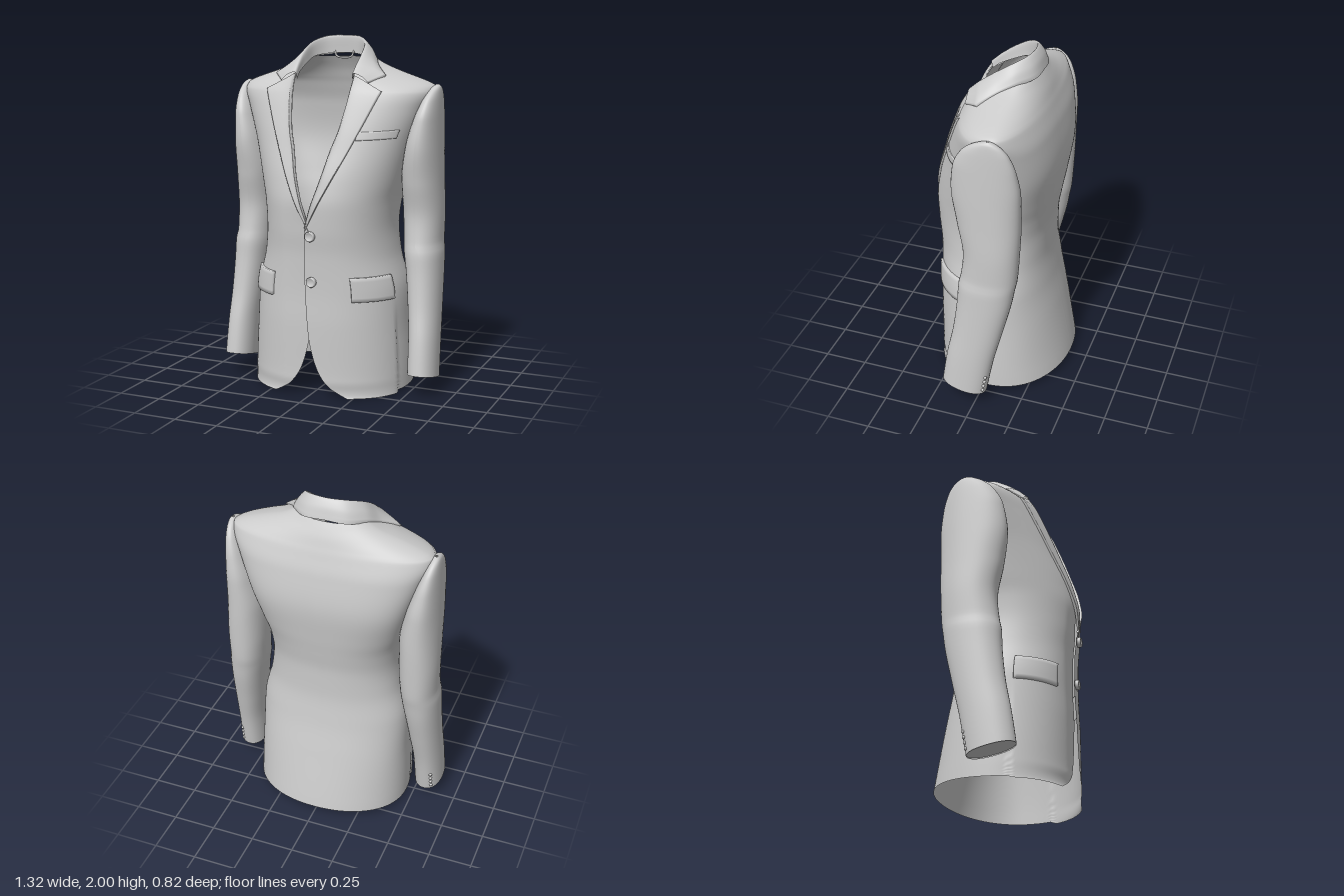
import * as THREE from 'three';

const clamp = (x) => Math.min(1, Math.max(0, x));
const smooth = (a, b, x) => { const k = clamp((x - a) / (b - a)); return k * k * (3 - 2 * k); };
const lerp = THREE.MathUtils.lerp;
const cloth = new THREE.MeshStandardMaterial({ color: 0xcccccc, side: THREE.DoubleSide });

// Monotone cubic lookup of column c in a table whose first column is height
function look(table, c, y) {
  const n = table.length;
  y = Math.min(table[n - 1][0], Math.max(table[0][0], y));
  let i = 0;
  while (i < n - 2 && y > table[i + 1][0]) i++;
  const slope = (k) => (table[k + 1][c] - table[k][c]) / (table[k + 1][0] - table[k][0]);
  const tangent = (k) => {
    if (k === 0) return slope(0);
    if (k === n - 1) return slope(n - 2);
    const p = slope(k - 1), q = slope(k);
    return p * q <= 0 ? 0 : (2 * p * q) / (p + q);
  };
  const h = table[i + 1][0] - table[i][0], s = (y - table[i][0]) / h, s2 = s * s, s3 = s2 * s;
  return (2 * s3 - 3 * s2 + 1) * table[i][c] + (s3 - 2 * s2 + s) * h * tangent(i)
    + (3 * s2 - 2 * s3) * table[i + 1][c] + (s3 - s2) * h * tangent(i + 1);
}

// Body sections: height, half width, z of widest point, front z, back z, front and back roundness
const BODY = [
  [0, 0.47, -0.02, 0.345, -0.41, 2.2, 2.1], [0.1, 0.468, -0.02, 0.375, -0.392, 2.2, 2.1],
  [0.4, 0.452, -0.02, 0.38, -0.33, 2.2, 2.2], [0.6, 0.438, -0.02, 0.375, -0.29, 2.2, 2.2],
  [0.8, 0.39, -0.01, 0.38, -0.268, 2.2, 2.3], [0.95, 0.375, 0, 0.395, -0.27, 2.2, 2.4],
  [1.08, 0.385, -0.01, 0.4, -0.287, 2.2, 2.5], [1.2, 0.415, -0.03, 0.38, -0.305, 2.2, 2.7],
  [1.4, 0.47, -0.06, 0.315, -0.325, 2.3, 3], [1.6, 0.54, -0.07, 0.24, -0.3, 2.3, 2.8],
  [1.7, 0.575, -0.08, 0.198, -0.27, 2.2, 2.3], [1.73, 0.57, -0.09, 0.183, -0.26, 1.9, 2.1],
  [1.75, 0.53, -0.09, 0.172, -0.252, 1.8, 2], [1.8, 0.385, -0.09, 0.138, -0.233, 1.6, 1.9],
  [1.84, 0.275, -0.1, 0.08, -0.213, 1.7, 1.9], [1.88, 0.2, -0.1, -0.02, -0.19, 2, 2],
];
// Front edge: cutaway hem, overlap, then the roll line up to the neck
const EDGE = [
  [0, 0.22], [0.015, 0.19], [0.06, 0.12], [0.15, 0.055], [0.25, 0.02], [0.35, 0], [0.6, -0.02],
  [0.75, -0.025], [0.95, -0.015], [1.02, 0.005], [1.25, 0.075], [1.4, 0.11], [1.5, 0.14],
  [1.7, 0.17], [1.8, 0.176], [1.88, 0.17],
];
const edge = (y) => look(EDGE, 1, y);
function section(y) {
  const [a, zc, zf, zb, nf, nb] = [1, 2, 3, 4, 5, 6].map((c) => look(BODY, c, y));
  const r = Math.min(0.97, Math.abs(edge(y)) / a);
  return { a, zc, nf, nb, df: (zf - zc) / Math.pow(1 - Math.pow(r, nf), 1 / nf), db: zc - zb };
}
// Point on the left body half at angle t (0 front, PI back)
function bodyPoint(t, y, off = 0) {
  const s = section(y), front = Math.cos(t) > 0, p = 2 / (front ? s.nf : s.nb);
  const tuck = 1 - 0.025 * smooth(1.22, 1.27, t) * (1 - smooth(1.3, 2.3, t)) * (1 - smooth(0.3, 0.6, y));
  const k = tuck * (1 + off / 0.42);
  const x = Math.sign(Math.sin(t)) * Math.pow(Math.abs(Math.sin(t)), p) * s.a;
  const z = (front ? s.df : -s.db) * Math.pow(Math.abs(Math.cos(t)), p);
  return [x * k, y, s.zc + z * k];
}
function frontZ(x, y) {
  const s = section(y), r = Math.min(1, Math.abs(x) / s.a);
  return s.zc + s.df * Math.pow(1 - Math.pow(r, s.nf), 1 / s.nf);
}

// Smooth sheet from a rule f(u, v) -> [x, y, z]
function sheet(name, nu, nv, f, flip = false) {
  const pos = [], idx = [];
  for (let j = 0; j <= nv; j++) for (let i = 0; i <= nu; i++) pos.push(...f(i / nu, j / nv));
  for (let j = 0; j < nv; j++) for (let i = 0; i < nu; i++) {
    const a = j * (nu + 1) + i, b = a + 1, c = a + nu + 1, d = c + 1;
    idx.push(...(flip ? [a, c, b, b, c, d] : [a, b, c, b, d, c]));
  }
  const g = new THREE.BufferGeometry();
  g.setAttribute('position', new THREE.Float32BufferAttribute(pos, 3));
  g.setIndex(idx);
  g.computeVertexNormals();
  const m = new THREE.Mesh(g, cloth);
  m.name = name;
  return m;
}
const mirror = (f, side) => (u, v) => { const p = f(u, v); return [p[0] * side, p[1], p[2]]; };

function bodyHalf(side) {
  const rule = (u, v) => {
    const row = v - 0.7 * Math.sin(2 * Math.PI * v) / (2 * Math.PI);
    const rough = 1.88 * row;
    let e = edge(rough);
    if (side < 0) e = Math.max(e, -0.01);
    const s = section(rough);
    const t0 = Math.sign(e) * Math.asin(Math.pow(Math.min(0.97, Math.abs(e) / s.a), s.nf / 2));
    const t = lerp(t0, Math.PI, u);
    const hem = 0.012 * smooth(1.2, 1.27, t) + 0.025 * smooth(1.27, Math.PI, t);
    const p = bodyPoint(t, lerp(hem, 1.88, row));
    // the right front tucks beneath the left one
    if (side < 0 && t < 1.5) p[2] -= 0.018 * clamp(1 - Math.abs(p[0]) / 0.16) * (1 - smooth(0.95, 1.2, rough));
    return p;
  };
  return sheet(side > 0 ? 'leftBody' : 'rightBody', 72, 100, mirror(rule, side), side > 0);
}

function lapel(side) {
  const rule = (u, v) => {
    const yr = lerp(0.97, 1.795, v);
    const rx = side < 0 ? Math.max(edge(yr), 0) : edge(yr);
    const w = clamp((u * 20 - 0.01) / 19);
    const x = lerp(rx, lerp(-0.01, 0.345, v) + 0.012 * Math.sin(Math.PI * v), w);
    const y = lerp(yr, lerp(0.95, 1.708, v), w);
    const lift = u === 1 ? -0.002 : u === 0 ? -0.006 : 0.012 + 0.01 * Math.exp(-w * 8);
    return [x, y, frontZ(x, y) + lift * (0.5 + 0.5 * smooth(0, 0.15, v))];
  };
  return sheet(side > 0 ? 'leftLapel' : 'rightLapel', 20, 50, mirror(rule, side), side < 0);
}

// Collar: lining edge, fold and outer edge at stations from the back to the tip
function collar() {
  const stations = [
    [[0, 1.9, -0.15], [0, 2, -0.15], [0, 1.91, -0.2]],
    [[0.09, 1.895, -0.125], [0.1, 1.995, -0.128], [0.12, 1.9, -0.185]],
    [[0.15, 1.88, -0.06], [0.16, 1.965, -0.06], [0.205, 1.885, -0.115]],
    [[0.165, 1.84, 0.03], [0.179, 1.91, 0.03], [0.26, 1.84, -0.02]],
    [[0.168, 1.8, 0.11], [0.178, 1.85, 0.11], [0.335, 1.79, 0.068]],
  ];
  const end = [[0.165, 1.765, 0.15], [0.174, 1.8, 0.162], [0.262, 1.754, 0.155]];
  const vec = (p, s) => new THREE.Vector3(p[0] * s, p[1], p[2]);
  const rails = [0, 1, 2].map((k) => new THREE.CatmullRomCurve3(
    [...stations.slice(1).reverse().map((s) => vec(s[k], -1)), ...stations.map((s) => vec(s[k], 1))]));
  return sheet('collar', 18, 72, (u, v) => {
    const j = Math.round(v * 72), s = j < 36 ? -1 : 1;
    const beyond = clamp((Math.abs(j - 36) - 30) / 6);
    const [a, b, c] = rails.map((r, k) => r.getPoint(clamp((j - 6) / 60)).lerp(vec(end[k], s), beyond));
    const mid = b.clone().lerp(c, 0.5);
    mid.set(mid.x * 1.03, mid.y + 0.008, mid.z - 0.006 * (1 - beyond));
    if (u === 1) return [c.x * 0.97, c.y - 0.014, c.z - 0.004];
    return new THREE.CatmullRomCurve3([a, b, mid, c]).getPoint(Math.min(1, u * 18 / 17)).toArray();
  });
}

// Sleeve rings: height, inner x, outer x, front z, back z
const SLEEVE = [
  [0.08, 0.492, 0.658, 0.2, -0.06], [0.3, 0.485, 0.652, 0.17, -0.1], [0.5, 0.465, 0.645, 0.135, -0.15],
  [0.7, 0.44, 0.64, 0.112, -0.198], [0.8, 0.425, 0.638, 0.106, -0.215], [0.86, 0.42, 0.629, 0.092, -0.226],
  [1, 0.41, 0.63, 0.078, -0.235], [1.2, 0.405, 0.625, 0.112, -0.243], [1.4, 0.435, 0.62, 0.138, -0.245],
  [1.55, 0.48, 0.616, 0.12, -0.227], [1.65, 0.52, 0.612, 0.07, -0.195], [1.7, 0.545, 0.608, 0.015, -0.16],
  [1.725, 0.56, 0.603, -0.035, -0.125], [1.738, 0.575, 0.59, -0.08, -0.095],
];
function sleevePoint(a, y) {
  const [xi, xo, zf, zb] = [1, 2, 3, 4].map((c) => look(SLEEVE, c, y));
  const pw = (q) => Math.sign(q) * Math.pow(Math.abs(q), 0.9);
  const z = (zf + zb) / 2 + pw(Math.cos(a)) * (zf - zb) / 2;
  const tilt = 0.2 * (z + 0.06) * (1 - smooth(0.08, 0.6, y));
  return [(xi + xo) / 2 + pw(Math.sin(a)) * (xo - xi) / 2, y + tilt, z];
}
function sleeve(side) {
  const g = new THREE.Group();
  g.name = side > 0 ? 'leftSleeve' : 'rightSleeve';
  const rule = (u, v) => sleevePoint(u * Math.PI * 2, lerp(0.08, 1.738, 1 - Math.pow(1 - v, 1.5)));
  g.add(sheet('sleeveTube', 40, 80, mirror(rule, side), side < 0));
  // lining closing the cuff just inside its edge
  const lining = (u, v) => {
    const p = sleevePoint(u * Math.PI * 2, 0.087);
    return [lerp(0.575, p[0], v), lerp(0.113, p[1], v), lerp(0.07, p[2], v)];
  };
  g.add(sheet('cuffLining', 40, 2, mirror(lining, side), side < 0));
  for (let i = 0; i < 4; i++) {
    const b = new THREE.Mesh(new THREE.SphereGeometry(0.01, 12, 8), cloth);
    const p = sleevePoint(2.65, 0.11 + i * 0.032);
    b.position.set(p[0] * side, p[1], p[2]);
    b.name = 'cuffButton';
    g.add(b);
  }
  return g;
}

// Raised cloth patch that follows the body
function patch(name, side, t0, t1, y0, y1, off, slope = 0) {
  const rule = (u, v) => {
    const rim = u === 0 || u === 1 || v === 0 || v === 1;
    const s = clamp((u * 18 - 1) / 16), r = clamp((v * 8 - 1) / 6);
    return bodyPoint(lerp(t0, t1, s), lerp(y0, y1, r) + slope * s, rim ? -0.002 : off);
  };
  return sheet(name, 18, 8, mirror(rule, side), side < 0);
}

function button(y) {
  const profile = [[0, 0.008], [0.015, 0.008], [0.02, 0.014], [0.026, 0.014], [0.029, 0.008], [0.028, -0.012]];
  const m = new THREE.Mesh(new THREE.LatheGeometry(profile.map((p) => new THREE.Vector2(...p)), 24), cloth);
  m.rotation.x = Math.PI / 2;
  m.position.set(0.02, y, frontZ(0.02, y) + 0.006);
  m.name = 'frontButton';
  return m;
}

export function createModel() {
  const jacket = new THREE.Group();
  jacket.name = 'jacket';
  for (const side of [1, -1]) {
    jacket.add(bodyHalf(side), lapel(side), sleeve(side));
    jacket.add(patch('pocketFlap', side, 0.53, 1.2, 0.555, 0.69, 0.014));
  }
  jacket.add(collar(), patch('breastPocket', 1, 0.45, 1.02, 1.445, 1.49, 0.006, 0.01));
  jacket.add(button(0.92), button(0.66));
  // hanger loop inside the neck
  const loop = new THREE.CatmullRomCurve3([[-0.06, 1.912], [-0.045, 1.88], [0, 1.872], [0.045, 1.88], [0.06, 1.912]]
    .map(([x, y]) => new THREE.Vector3(x, y, -0.138)));
  const hanger = new THREE.Mesh(new THREE.TubeGeometry(loop, 20, 0.006, 8), cloth);
  hanger.name = 'hangerLoop';
  jacket.add(hanger);
  return jacket;
}
